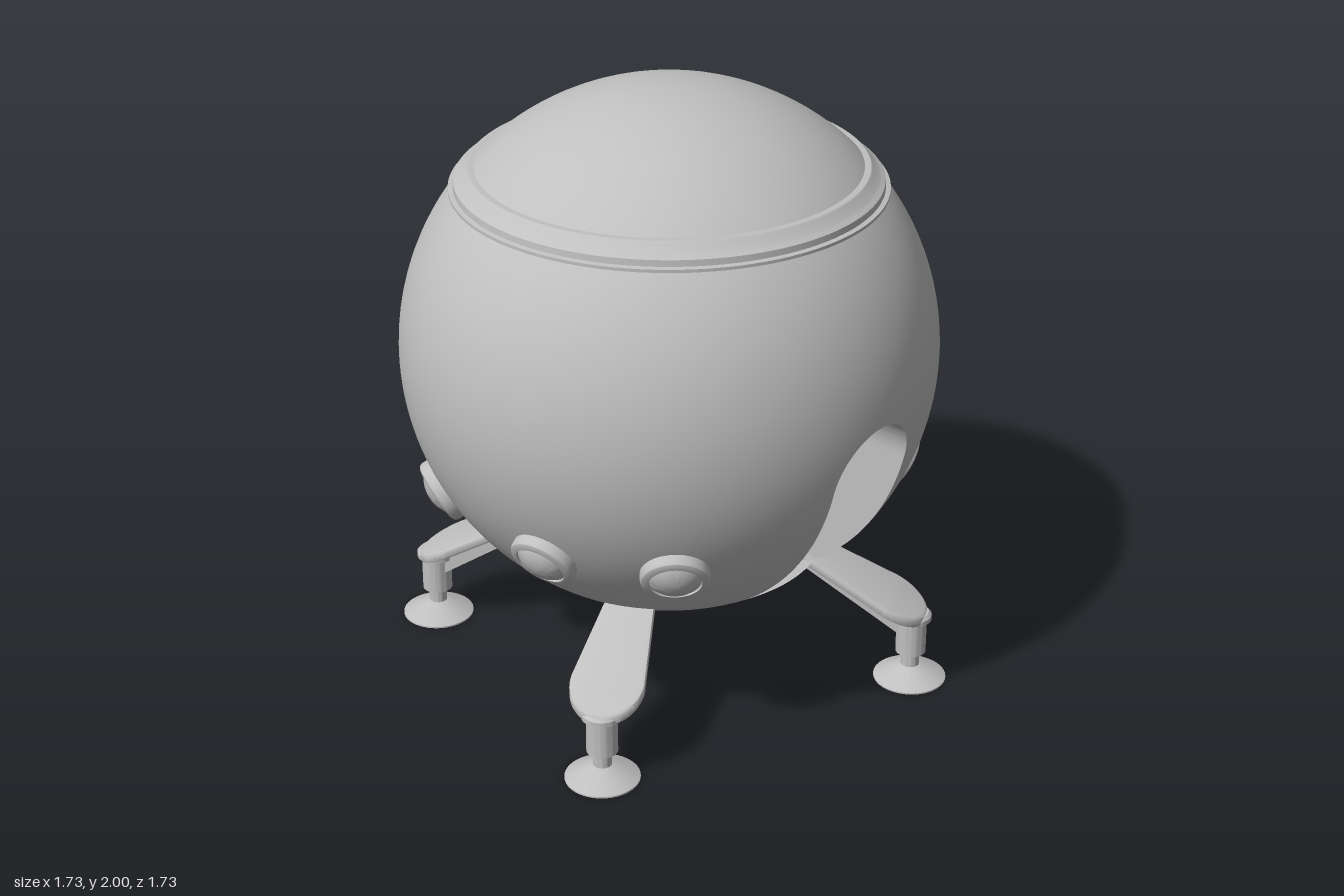
import * as THREE from 'three';
import { toCreasedNormals } from 'three/addons/utils/BufferGeometryUtils.js';

const R = 0.867, CY = 1.135;                 // hull sphere
const DOOR_AZ = THREE.MathUtils.degToRad(17.7);
const HALF = 0.175, FLOOR = 0.435, SPRING = 0.94, BACK = 0.19;

const grey = new THREE.MeshStandardMaterial({ color: 0xc0c0c0 });
grey.name = 'light grey';
const greyOpen = grey;

function mesh(name, geometry) {
  const m = new THREE.Mesh(geometry, greyOpen);
  m.name = name;
  return m;
}

// Smooth lathe with sharp edges kept
function lathe(points, segments = 48) {
  const pts = points.map(([r, y]) => new THREE.Vector2(r, y));
  return toCreasedNormals(new THREE.LatheGeometry(pts, segments), 0.5);
}

// Joins closed rings of points; each ring runs anticlockwise around the former one
function skin(rings) {
  const n = rings[0].length, pos = [], index = [];
  rings.forEach(ring => ring.forEach(p => pos.push(p.x, p.y, p.z)));
  for (let j = 0; j < rings.length - 1; j++) {
    for (let i = 0; i < n; i++) {
      const a = j * n + i, b = j * n + (i + 1) % n, c = a + n, d = b + n;
      index.push(a, c, b, b, c, d);
    }
  }
  const g = new THREE.BufferGeometry();
  g.setAttribute('position', new THREE.Float32BufferAttribute(pos, 3));
  g.setIndex(index);
  g.computeVertexNormals();
  return g;
}

// Arched doorway outline, anticlockwise from the lower corner
function doorOutline() {
  const out = [];
  const line = (x0, y0, x1, y1, n) => {
    for (let i = 0; i < n; i++) {
      out.push(new THREE.Vector2(x0 + (x1 - x0) * i / n, y0 + (y1 - y0) * i / n));
    }
  };
  line(-HALF, FLOOR, HALF, FLOOR, 36);
  line(HALF, FLOOR, HALF, SPRING, 50);
  for (let i = 0; i < 56; i++) {
    const a = Math.PI * i / 56;
    out.push(new THREE.Vector2(HALF * Math.cos(a), SPRING + HALF * Math.sin(a)));
  }
  line(-HALF, SPRING, -HALF, FLOOR, 50);
  return out;
}

// Hull sphere with the doorway cut out, plus the recess behind it
function makeHull() {
  const g = new THREE.Group();
  g.name = 'hull';
  const outline = doorOutline();
  const onSphere = p => new THREE.Vector3(p.x, p.y - CY, Math.sqrt(R * R - p.x ** 2 - (p.y - CY) ** 2));
  const rim = outline.map(onSphere);
  const pole = onSphere(new THREE.Vector2(0, 0.775)).normalize();

  // great-circle arcs from the doorway rim to the opposite pole
  const steps = 56, rings = [];
  for (let j = 0; j <= steps; j++) {
    rings.push(rim.map(p => {
      const u = p.clone().normalize();
      const start = u.angleTo(pole);
      const side = u.clone().addScaledVector(pole, -u.dot(pole)).normalize();
      const a = start + (Math.PI - 0.0005 - start) * j / steps;
      return pole.clone().multiplyScalar(R * Math.cos(a)).addScaledVector(side, R * Math.sin(a));
    }));
  }
  const shell = skin(rings);
  const pos = shell.attributes.position, nor = shell.attributes.normal;
  for (let i = 0; i < pos.count; i++) nor.setXYZ(i, pos.getX(i) / R, pos.getY(i) / R, pos.getZ(i) / R);
  const shellMesh = mesh('hullShell', shell);

  const backRing = rim.map(p => new THREE.Vector3(p.x, p.y, BACK));
  const walls = mesh('doorwayWalls', toCreasedNormals(skin([backRing, rim]), 0.6));
  shellMesh.position.y = walls.position.y = CY;
  const back = mesh('doorwayBack', new THREE.ShapeGeometry(new THREE.Shape(outline)));
  back.position.z = BACK;
  g.add(shellMesh, walls, back);
  g.rotation.y = DOOR_AZ;
  return g;
}

// Landing leg, built pointing along +z
function makeLeg() {
  const g = new THREE.Group();
  g.name = 'leg';
  const FOOT = 0.827;

  // sloping plate with a rounded outer end
  const s = new THREE.Shape();
  s.moveTo(-0.068, 0.47);
  s.lineTo(0.068, 0.47);
  s.lineTo(0.11, 0.75);
  s.absarc(0, 0.757, 0.11, 0, Math.PI, false);
  s.closePath();
  const plate = new THREE.ExtrudeGeometry(s, {
    depth: 0.02, bevelThickness: 0.008, bevelSize: 0.01, bevelSegments: 2, curveSegments: 24,
  });
  const p = plate.attributes.position;
  for (let i = 0; i < p.count; i++) {
    const r = p.getY(i), top = 0.435 - 0.5 * (r - 0.51);
    p.setXYZ(i, -p.getX(i), top - 0.028 + p.getZ(i), r);
  }
  g.add(mesh('legPlate', toCreasedNormals(plate, 0.6)));

  // supporting rib under the plate
  const ribShape = new THREE.Shape([
    [0.36, 0.43], [0.46, 0.385], [0.785, 0.175], [0.82, 0.175], [0.82, 0.26], [0.5, 0.42], [0.36, 0.495],
  ].map(([x, y]) => new THREE.Vector2(x, y)));
  const rib = new THREE.ExtrudeGeometry(ribShape, { depth: 0.06, bevelEnabled: false });
  rib.translate(0, 0, -0.03).rotateY(-Math.PI / 2);
  g.add(mesh('legRib', rib));

  // post, piston and foot pad
  const foot = mesh('footPost', lathe([
    [0, 0], [0.12, 0], [0.12, 0.005], [0.045, 0.045], [0.03, 0.05], [0.03, 0.1], [0.05, 0.1],
    [0.05, 0.222], [0.065, 0.224], [0.065, 0.24], [0.055, 0.25], [0, 0.25],
  ]));
  foot.position.z = FOOT;
  g.add(foot);
  return g;
}

// Round porthole: raised collar with a domed centre
const portholeGeometry = lathe([
  [0.108, 0.82], [0.108, 0.885], [0.104, 0.893], [0.096, 0.898], [0.082, 0.9], [0.08, 0.893],
  [0.076, 0.897], [0.06, 0.909], [0.04, 0.918], [0.02, 0.923], [0, 0.925],
]);

export function createModel() {
  const model = new THREE.Group();
  model.name = 'sphericalPod';
  model.add(makeHull());

  // stepped band around the crown
  model.add(mesh('crownBand', lathe([
    [0.65, 1.676], [0.692, 1.677], [0.692, 1.687], [0.677, 1.69], [0.675, 1.71], [0.664, 1.717],
    [0.655, 1.722], [0.637, 1.745], [0.63, 1.751], [0.617, 1.752], [0.59, 1.75],
  ], 128)));

  // base disc
  model.add(mesh('baseDisc', lathe([[0, 0.27], [0.2, 0.27], [0.2, 0.302], [0, 0.302]], 64)));

  // portholes, skipping the doorway
  for (const az of [62.5, 105, 148.5, -149.5, -105, -61, -29]) {
    const port = mesh('porthole', portholeGeometry);
    port.position.y = CY;
    port.rotation.order = 'YXZ';
    port.rotation.set(THREE.MathUtils.degToRad(120), THREE.MathUtils.degToRad(az), 0);
    model.add(port);
  }

  // four diagonal legs
  for (let i = 0; i < 4; i++) {
    const leg = makeLeg();
    leg.rotation.y = Math.PI / 4 + i * Math.PI / 2;
    model.add(leg);
  }
  return model;
}
